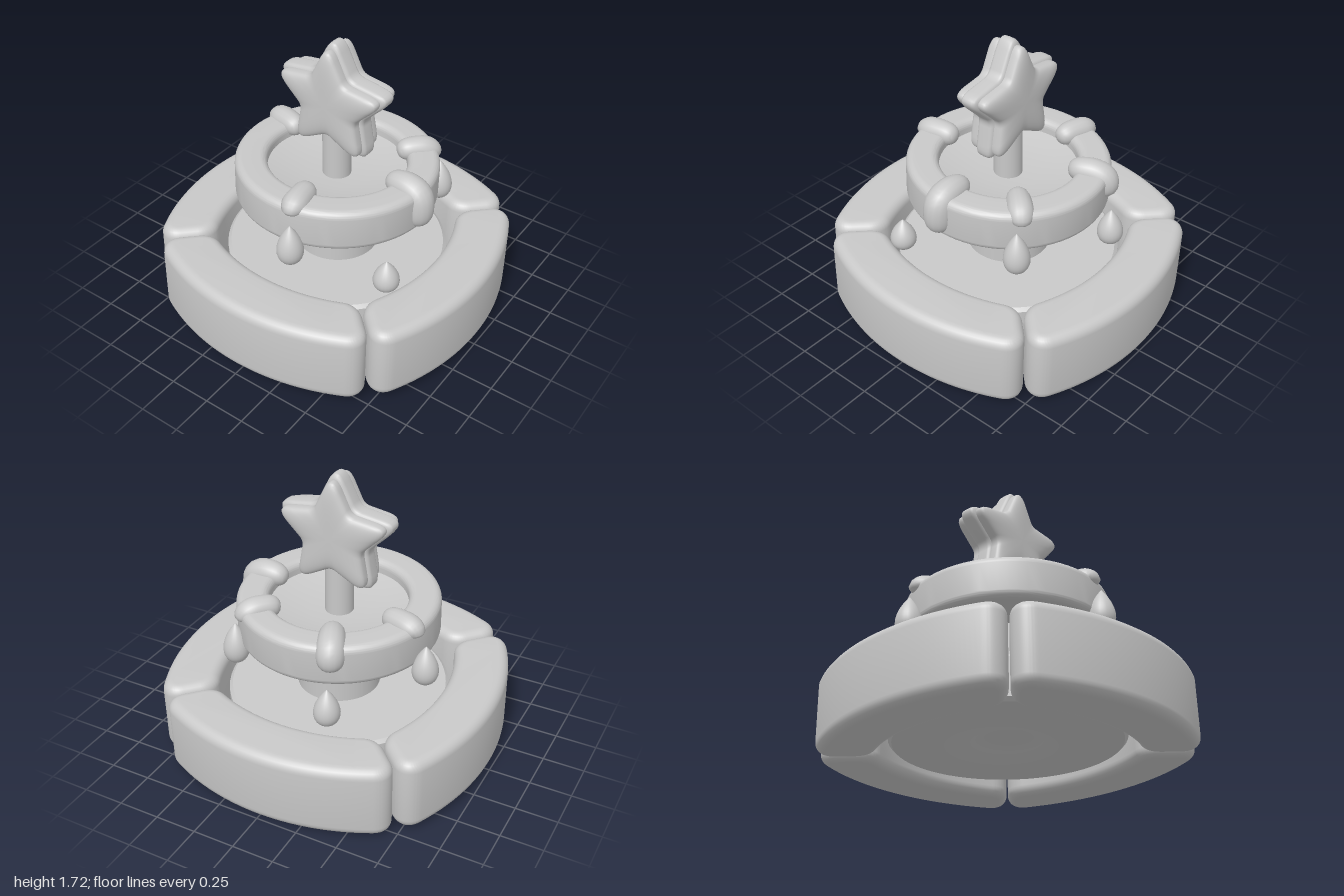
import * as THREE from 'three';
import { toCreasedNormals, mergeVertices } from 'three/addons/utils/BufferGeometryUtils.js';

const V2 = (x, y) => new THREE.Vector2(x, y);
const V3 = (x, y, z) => new THREE.Vector3(x, y, z);

export function createModel() {
  const model = new THREE.Group();
  model.name = 'starFountain';
  const stone = new THREE.MeshStandardMaterial({ color: 0xc8c8c8 });
  stone.name = 'pale grey stone';

  const add = (name, geometry, parent = model) => {
    const mesh = new THREE.Mesh(geometry, stone);
    mesh.name = name;
    parent.add(mesh);
    return mesh;
  };
  const lathe = (points, segments = 64) =>
    toCreasedNormals(new THREE.LatheGeometry(points, segments), 0.6);

  // The stonework leans slightly towards +x; the bowl pivots about its own centre
  const basin = new THREE.Group();
  basin.name = 'basin';
  basin.rotation.z = -0.025;
  model.add(basin);
  const bowl = new THREE.Group();
  bowl.name = 'upperBowl';
  bowl.rotation.z = -0.036;
  bowl.position.set(-0.022, 0, 0);
  model.add(bowl);

  // Four curved wall blocks with soft edges and rounded corners
  const bevel = 0.06, top = Math.PI / 2, cut = 0.045;
  const outerR = 1.365, innerR = 1.155, outerHalf = 0.512, innerHalf = 0.461, cy = -0.43;
  const onArc = (r, a) => V2(r * Math.sin(a), cy + r * Math.cos(a));
  const wallShape = new THREE.Shape();
  const roundTo = (corner, end) => wallShape.quadraticCurveTo(corner.x, corner.y, end.x, end.y);
  wallShape.absarc(0, cy, outerR, top - outerHalf + cut, top + outerHalf - cut, false);
  const outL = onArc(outerR, -outerHalf), inL = onArc(innerR, -innerHalf);
  const endL = outL.clone().lerp(inL, 0.28), startL = outL.clone().lerp(inL, 0.72);
  roundTo(outL, endL);
  wallShape.lineTo(startL.x, startL.y);
  roundTo(inL, onArc(innerR, -innerHalf + cut));
  wallShape.absarc(0, cy, innerR, top + innerHalf - cut, top - innerHalf + cut, true);
  const outR = onArc(outerR, outerHalf), inR = onArc(innerR, innerHalf);
  const startR = inR.clone().lerp(outR, 0.28), endR = inR.clone().lerp(outR, 0.72);
  roundTo(inR, startR);
  wallShape.lineTo(endR.x, endR.y);
  roundTo(outR, onArc(outerR, outerHalf - cut));
  const wall = toCreasedNormals(new THREE.ExtrudeGeometry(wallShape, {
    depth: 0.455 - 2 * bevel, bevelEnabled: true, bevelSize: bevel,
    bevelThickness: bevel, bevelSegments: 6, curveSegments: 24,
  }), 0.6);
  wall.translate(0, 0, bevel);
  wall.rotateX(-Math.PI / 2);
  for (let i = 0; i < 4; i++) {
    const block = add('wallBlock', wall, basin);
    block.position.y = 0.025;
    block.rotation.y = i * Math.PI / 2;
  }

  // Basin floor with a shallow domed recess underneath
  add('basinFloor', lathe([
    V2(0, 0.15), V2(0.12, 0.142), V2(0.2, 0.122), V2(0.235, 0.1), V2(0.65, 0.1),
    V2(0.67, 0.12), V2(0.67, 0.34), V2(0.65, 0.36), V2(0, 0.36),
  ]), basin);
  add('column', new THREE.CylinderGeometry(0.25, 0.25, 0.5, 48), basin).position.y = 0.54;

  // Upper bowl: a rounded rim around a shallow dish
  const r0 = 0.41, r1 = 0.6, y0 = 0.715, y1 = 0.97, c = 0.045;
  const rim = new THREE.Path();
  rim.moveTo(r0 + c, y0);
  rim.lineTo(r1 - c, y0);
  rim.absarc(r1 - c, y0 + c, c, -Math.PI / 2, 0, false);
  rim.absarc(r1 - c, y1 - c, c, 0, Math.PI / 2, false);
  rim.absarc(r0 + c, y1 - c, c, Math.PI / 2, Math.PI, false);
  rim.absarc(r0 + c, y0 + c, c, Math.PI, Math.PI * 1.5, false);
  add('bowlRim', lathe(rim.getPoints(6), 72), bowl);
  add('bowlDish', lathe([
    V2(0, 0.73), V2(0.45, 0.73), V2(0.45, 0.9), V2(0.41, 0.89),
    V2(0.3, 0.865), V2(0.18, 0.85), V2(0, 0.845),
  ]), bowl);

  // Stem
  add('stem', new THREE.CylinderGeometry(0.085, 0.085, 0.38, 32)).position.set(0.005, 0.99, 0);

  // Star outline with rounded tips
  const starOutline = (tip, notch) => {
    const corner = (i) => {
      const a = Math.PI / 2 + i * Math.PI / 5;
      const r = i % 2 ? notch : tip;
      return V2(Math.cos(a) * r, Math.sin(a) * r);
    };
    const shape = new THREE.Shape();
    for (let i = 0; i < 10; i++) {
      const p = corner(i), k = i % 2 ? 0.14 : 0.42;
      const a = p.clone().lerp(corner(i + 9), k), b = p.clone().lerp(corner(i + 1), k);
      if (i === 0) shape.moveTo(a.x, a.y);
      else shape.lineTo(a.x, a.y);
      shape.quadraticCurveTo(p.x, p.y, b.x, b.y);
    }
    return shape.getPoints(8);
  };

  // Pillow-shaped star made of nested outlines, broad faces towards the sides
  const star = new THREE.Group();
  star.name = 'star';
  star.position.set(0.008, 1.352, 0);
  star.rotation.y = Math.PI / 2;
  model.add(star);
  const starLayer = (name, tip, notch, half, power, offset) => {
    const outline = starOutline(tip, notch), n = outline.length, steps = 20;
    const positions = [], index = [];
    for (let i = 0; i <= steps; i++) {
      const a = (i / steps - 0.5) * Math.PI;
      const s = Math.max(0, Math.cos(a)) ** power;
      const z = offset + half * Math.sign(a) * Math.abs(Math.sin(a)) ** power;
      for (const p of outline) positions.push(p.x * s, p.y * s, z);
      for (let j = 0; i < steps && j < n; j++) {
        const k = i * n + j, m = i * n + (j + 1) % n;
        index.push(k, m, m + n, k, m + n, k + n);
      }
    }
    const geo = new THREE.BufferGeometry();
    geo.setAttribute('position', new THREE.Float32BufferAttribute(positions, 3));
    geo.setIndex(index);
    const solid = mergeVertices(geo, 1e-5);
    solid.computeVertexNormals();
    add(name, solid, star);
  };
  starLayer('starCore', 0.422, 0.212, 0.066, 0.4, 0);
  for (const side of [-1, 1]) starLayer('starFace', 0.387, 0.192, 0.06, 0.58, side * 0.072);

  // Drips draped over the rim, tapering at both ends
  const dripGeometry = (reach, low, width) => {
    const curve = new THREE.CatmullRomCurve3([
      V3(0.355, 0.945, 0), V3(0.44, 0.955, 0), V3(reach - 0.06, 0.95, 0),
      V3(reach - 0.01, 0.92 + (low > 0.9 ? 0.015 : 0), 0), V3(reach, low, 0),
    ]);
    const rings = 28, sides = 16;
    const geo = new THREE.TubeGeometry(curve, rings, 1, sides, false);
    const pos = geo.attributes.position, p = V3(0, 0, 0);
    for (let i = 0; i <= rings; i++) {
      const t = i / rings, centre = curve.getPointAt(t);
      const r = width * (0.9 + 0.2 * t) * Math.sqrt(Math.max(0, 1 - Math.abs(2 * t - 1) ** 4));
      for (let j = 0; j <= sides; j++) {
        const n = i * (sides + 1) + j;
        p.fromBufferAttribute(pos, n).sub(centre).multiplyScalar(r).add(centre);
        pos.setXYZ(n, p.x, p.y, p.z);
      }
    }
    return toCreasedNormals(geo, 1.2);
  };
  // Direction x, z, then reach, lowest point and width
  for (const [x, z, reach, low, width] of [
    [0.14, -0.5, 0.59, 0.91, 0.073], [0.52, -0.22, 0.58, 0.815, 0.08],
    [0.39, 0.37, 0.58, 0.89, 0.073], [-0.02, 0.5, 0.578, 0.73, 0.085],
    [-0.47, 0.08, 0.585, 0.91, 0.074],
  ]) {
    add('drip', dripGeometry(reach, low, width), bowl).rotation.y = -Math.atan2(z, x);
  }

  // Falling teardrops: x, bottom y, z, height
  const tear = [];
  for (let i = 0; i <= 20; i++) {
    const a = Math.PI * i / 20;
    tear.push(V2(Math.max(0, 0.098 * Math.sin(a) * Math.cos(a / 2) ** 0.9), (1 - Math.cos(a)) / 2));
  }
  for (const [x, y, z, h] of [
    [-0.61, 0.635, 0.12, 0.255], [0.16, 0.605, -0.625, 0.245], [0.44, 0.59, 0.45, 0.26],
    [0.595, 0.47, -0.23, 0.23], [-0.32, 0.455, 0.57, 0.2],
  ]) {
    const drop = add('waterDrop', new THREE.LatheGeometry(tear, 24));
    drop.position.set(x, y, z);
    drop.scale.y = h;
  }
  return model;
}
